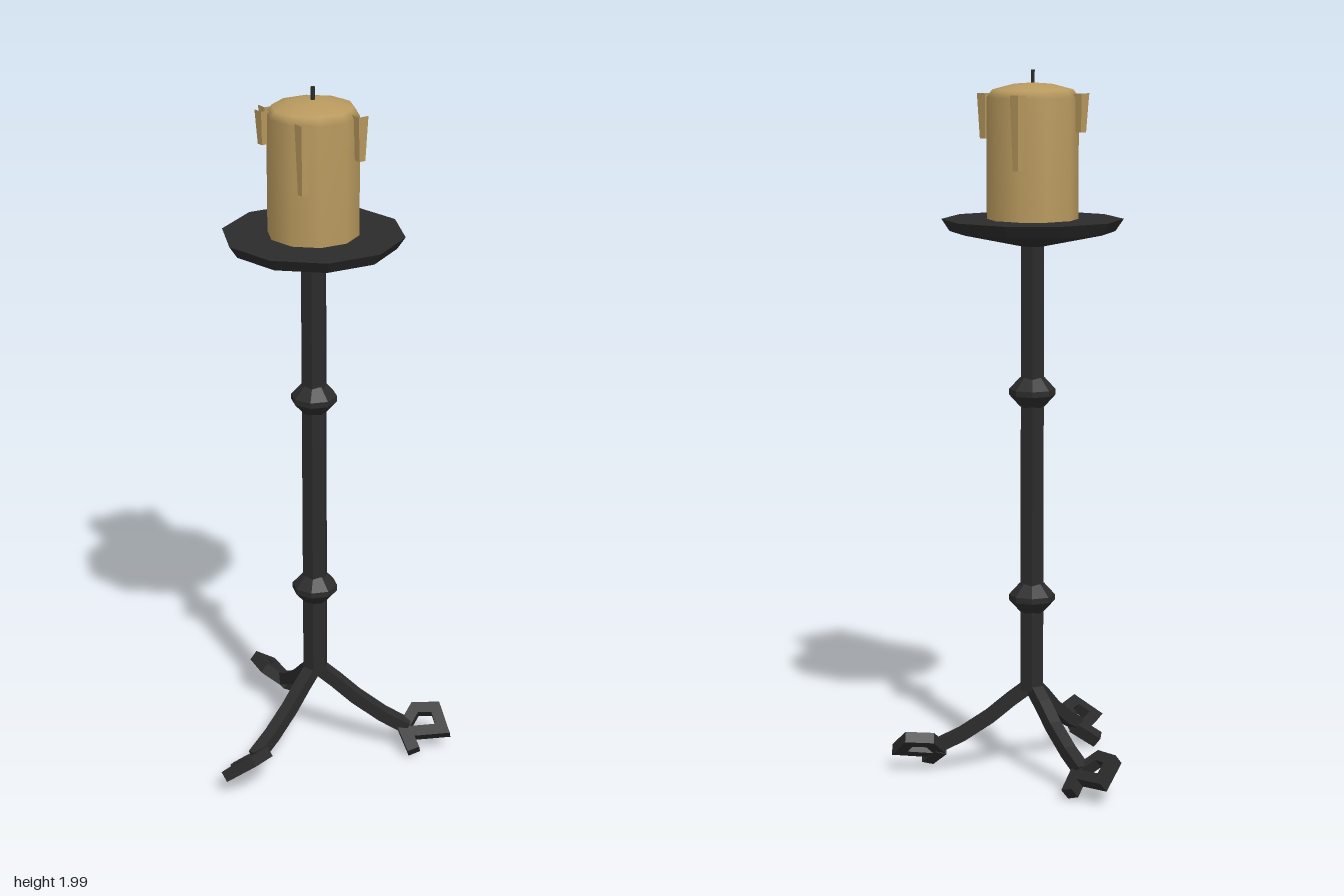
import * as THREE from 'three';

const V = (x, y, z) => new THREE.Vector3(x, y, z);

// Split shared vertices so every face is flat.
function faceted(geometry) {
  const g = geometry.index ? geometry.toNonIndexed() : geometry;
  g.computeVertexNormals();
  return g;
}

// Sweeps a square bar with mitred corners along points lying in a plane with normal n.
function bar(points, n, half, closed = false) {
  const count = points.length;
  const side = (i) => {
    const a = points[(i + count) % count], b = points[(i + 1) % count];
    return n.clone().cross(b.clone().sub(a).normalize());
  };
  const rings = points.map((p, i) => {
    const s1 = side(!closed && i === 0 ? 0 : i - 1);
    const s2 = side(!closed && i === count - 1 ? i - 1 : i);
    const mitre = s1.clone().add(s2).divideScalar(1 + s1.dot(s2));
    return [[1, 1], [-1, 1], [-1, -1], [1, -1]].map(([a, b]) =>
      p.clone().addScaledVector(mitre, a * half).addScaledVector(n, b * half));
  });
  const tris = [];
  const quad = (a, b, c, d) => tris.push(a, b, c, a, c, d);
  for (let i = 0; i < (closed ? count : count - 1); i++) {
    const a = rings[i], b = rings[(i + 1) % count];
    for (let k = 0; k < 4; k++) quad(a[k], a[(k + 1) % 4], b[(k + 1) % 4], b[k]);
  }
  if (!closed) {
    quad(...[...rings[0]].reverse());
    quad(...rings[count - 1]);
  }
  return faceted(new THREE.BufferGeometry().setFromPoints(tris));
}

function lathe(profile, sides) {
  const pts = profile.map(([r, y]) => new THREE.Vector2(r, y));
  return new THREE.LatheGeometry(pts, sides, Math.PI / 2);
}

export function createModel() {
  const iron = new THREE.MeshStandardMaterial({ color: 0x2b2b2b });
  iron.name = 'black iron';
  const wax = new THREE.MeshStandardMaterial({ color: 0xb8995e });
  wax.name = 'tan wax';

  const model = new THREE.Group();
  model.name = 'candlestick';
  model.position.x = -0.073;
  const add = (name, geometry, material, parent = model) => {
    const mesh = new THREE.Mesh(geometry, material);
    mesh.name = name;
    parent.add(mesh);
    return mesh;
  };

  // Pole with two knots
  const pole = add('pole', faceted(new THREE.CylinderGeometry(0.037, 0.037, 1.28, 6)), iron);
  pole.position.y = 0.885;
  for (const y of [0.515, 1.105]) {
    const knot = lathe([[0.034, -0.042], [0.065, -0.008], [0.065, 0.008], [0.034, 0.042]], 8);
    add('knot', faceted(knot), iron).position.y = y;
  }

  // Drip plate
  add('plate', faceted(lathe([[0, 1.515], [0.035, 1.515], [0.23, 1.556], [0.253, 1.59], [0, 1.59]], 10)), iron);

  // Candle and wick
  add('candle', lathe([[0.127, 1.59], [0.127, 1.925], [0.112, 1.946], [0.055, 1.961], [0, 1.965]], 10), wax);
  const wick = add('wick', faceted(new THREE.CylinderGeometry(0.006, 0.006, 0.06, 6)), iron);
  wick.position.y = 1.97;

  // Wax drips: x, z, bottom height
  const drips = [
    [0.042, -0.125, 1.73], [-0.132, -0.03, 1.83], [-0.134, 0.014, 1.84],
    [0.132, 0.03, 1.81], [-0.006, 0.133, 1.74],
  ];
  for (const [x, z, bottom] of drips) {
    const h = 1.935 - bottom;
    const drip = add('drip', faceted(new THREE.CylinderGeometry(0.022, 0.014, h, 4, 1, true)), wax);
    drip.position.set(x, bottom + h / 2, z);
  }

  // Three legs, each ending in a tilted curl and a toe
  const footNormal = V(0, 0.78, 0.62).normalize();
  const foot = ([u, v]) => V(u, 0.07 + 0.62 * v, -0.78 * v);
  for (let i = 0; i < 3; i++) {
    const leg = new THREE.Group();
    leg.name = 'leg';
    leg.rotation.y = i * Math.PI * 2 / 3;
    model.add(leg);
    const legPath = [[0, 0.26], [0.06, 0.215], [0.12, 0.165], [0.2, 0.112], [0.275, 0.075]];
    add('legBar', bar(legPath.map(([x, y]) => V(x, y, 0)), V(0, 0, 1), 0.018), iron, leg);
    const curl = [[0.265, 0], [0.29, 0.06], [0.35, 0.066], [0.378, 0], [0.275, -0.018]];
    add('curl', bar(curl.map(foot), footNormal, 0.016, true), iron, leg);
    add('toe', bar([[0.26, 0.005], [0.3, -0.072]].map(foot), footNormal, 0.018), iron, leg);
  }

  const root = new THREE.Group();
  root.add(model);
  return root;
}
